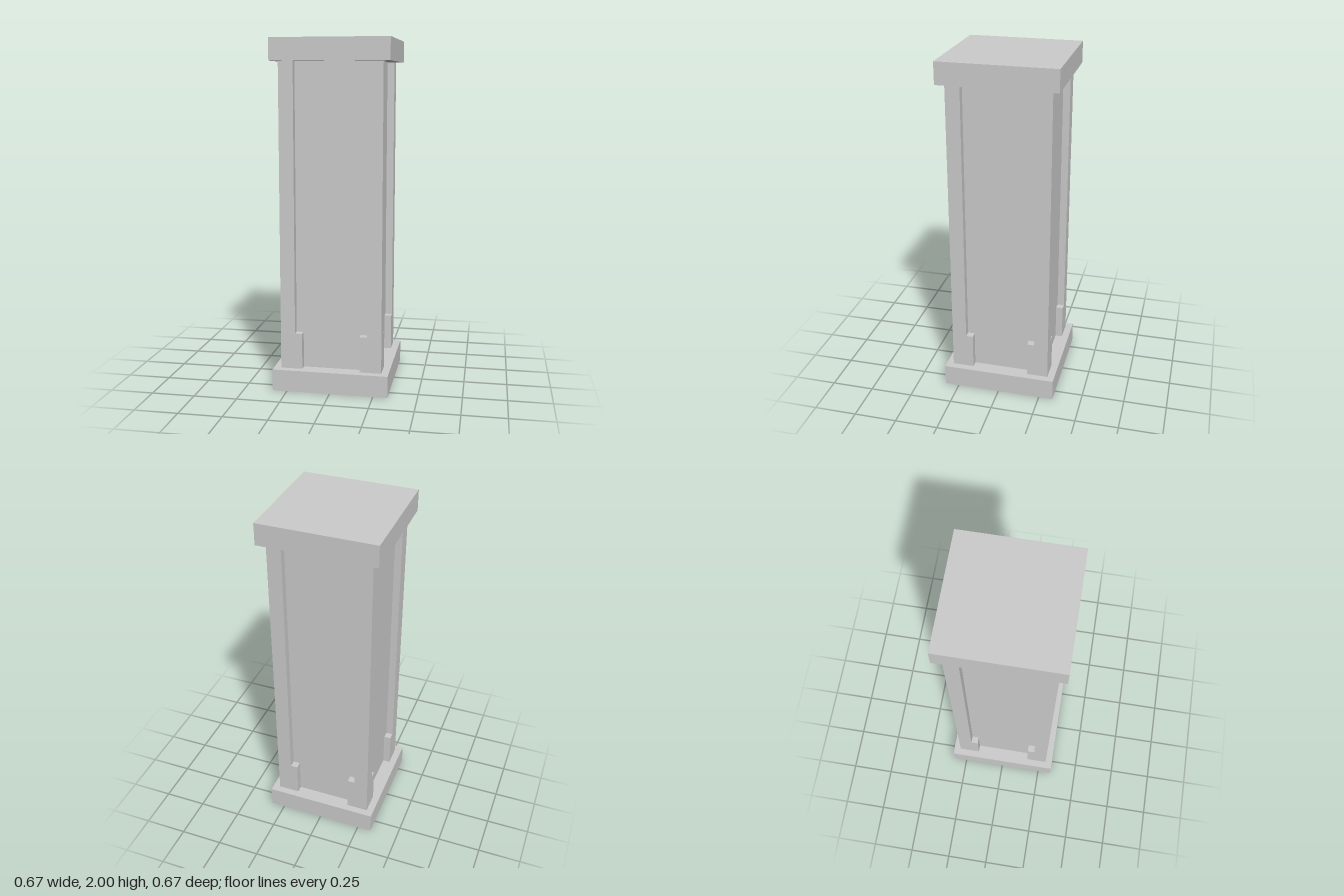
import * as THREE from 'three';

export function createModel() {
  const U = 1 / 24; // the pillar is laid out on a 48-step grid
  const group = new THREE.Group();
  group.name = 'pillar';
  const material = new THREE.MeshStandardMaterial({ color: 0xcccccc, flatShading: true });

  // Square block standing on grid height y0 and reaching y1
  function block(name, width, y0, y1, x = 0, z = 0) {
    const mesh = new THREE.Mesh(new THREE.BoxGeometry(width * U, (y1 - y0) * U, width * U), material);
    mesh.name = name;
    mesh.position.set(x * U, ((y0 + y1) / 2) * U, z * U);
    group.add(mesh);
  }

  // Slabs and recessed core
  block('baseSlab', 16, 0, 3);
  block('core', 12, 3, 45);
  block('capSlab', 16, 45, 48);

  // Corner posts on wider feet, outer faces flush
  for (const sx of [-1, 1]) {
    for (const sz of [-1, 1]) {
      block('cornerFoot', 3, 3, 8, sx * 5.5, sz * 5.5);
      block('cornerPost', 2, 8, 45, sx * 6, sz * 6);
    }
  }
  return group;
}
